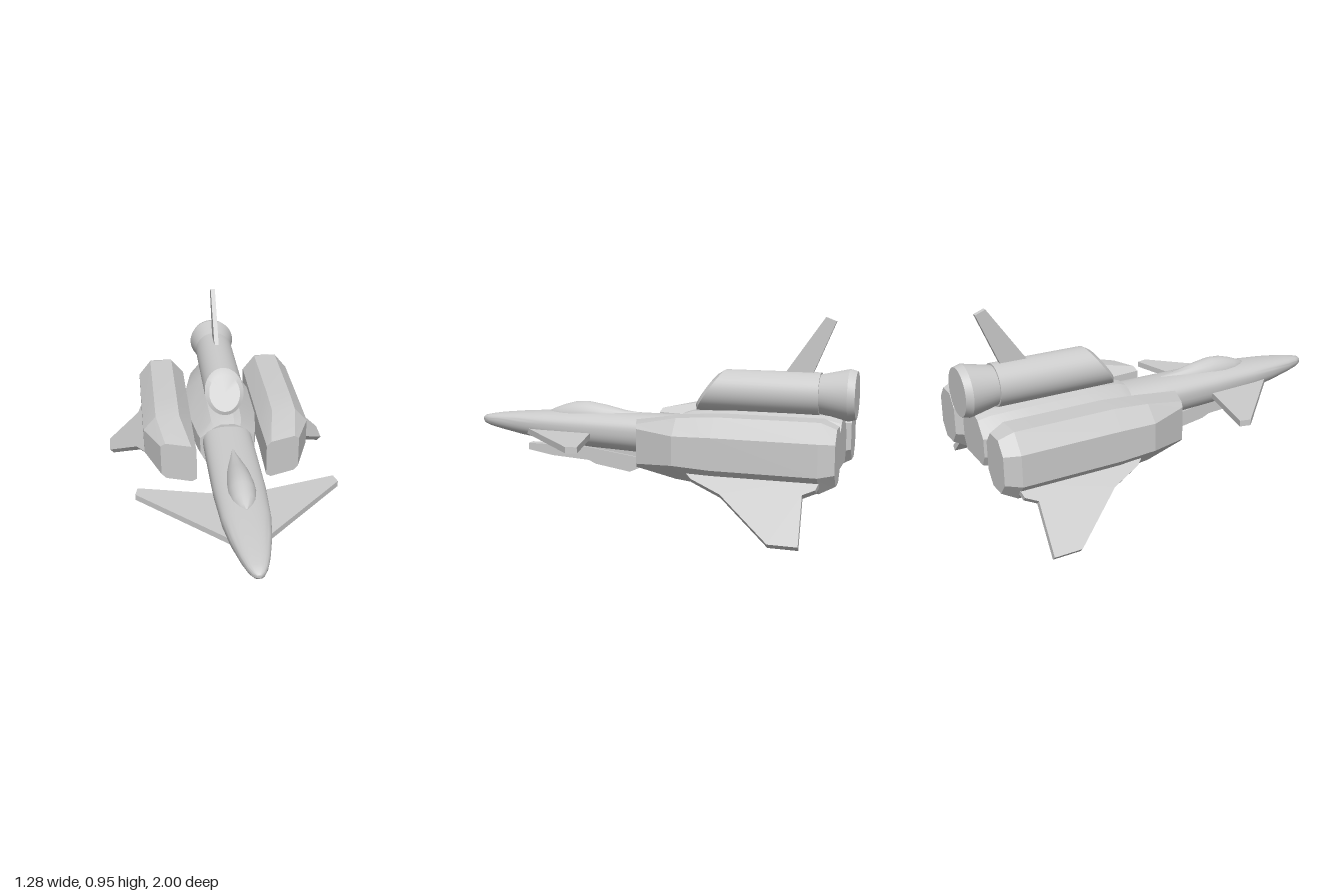
import * as THREE from 'three';
import { toCreasedNormals } from 'three/addons/utils/BufferGeometryUtils.js';

const V = (x, y, z) => new THREE.Vector3(x, y, z);

function mesh(name, geometry, crease = 0.5) {
  const m = new THREE.Mesh(toCreasedNormals(geometry, crease),
    new THREE.MeshStandardMaterial({ color: 0xcccccc }));
  m.name = name;
  return m;
}

// Skin a list of equal rings (rear to front, counter-clockwise from the front) and cap the ends.
function loft(rings) {
  const out = [];
  const tri = (...p) => p.forEach((q) => out.push(q.x, q.y, q.z));
  const n = rings[0].length;
  for (let i = 0; i < rings.length - 1; i++) {
    for (let j = 0; j < n; j++) {
      const k = (j + 1) % n, [r, s] = [rings[i], rings[i + 1]];
      tri(r[j], r[k], s[k]);
      tri(r[j], s[k], s[j]);
    }
  }
  const centre = (r) => r.reduce((a, p) => a.add(p), V(0, 0, 0)).divideScalar(n);
  const first = rings[0], last = rings[rings.length - 1];
  const c0 = centre(first), c1 = centre(last);
  for (let j = 0; j < n; j++) {
    const k = (j + 1) % n;
    tri(c0, first[k], first[j]);
    tri(c1, last[j], last[k]);
  }
  const g = new THREE.BufferGeometry();
  g.setAttribute('position', new THREE.Float32BufferAttribute(out, 3));
  return g;
}

// Flat plate: outline in the u, v plane, thickness centred on it.
function plate(name, outline, thickness, u, v, origin) {
  const shape = new THREE.Shape(outline.map(([a, b]) => new THREE.Vector2(a, b)));
  const g = new THREE.ExtrudeGeometry(shape, { depth: thickness, bevelEnabled: false });
  g.translate(0, 0, -thickness / 2);
  g.applyMatrix4(new THREE.Matrix4().makeBasis(u, v, u.clone().cross(v)).setPosition(origin));
  return mesh(name, g, 0.3);
}

// Rounded section with separate heights above and below its widest line.
function ovalRing(z, w, low, mid, top, power, n = 40) {
  return Array.from({ length: n }, (_, i) => {
    const a = (i / n) * Math.PI * 2, c = Math.cos(a), s = Math.sin(a);
    const h = s > 0 ? top - mid : mid - low;
    return V(w * Math.sign(c) * Math.abs(c) ** power, mid + h * Math.sign(s) * Math.abs(s) ** power, z);
  });
}

// Eight-sided section with chamfered corners; mirrored with its order kept.
function octRing(zIn, zOut, x0, x1, y0, y1, cx, cy, side = 1) {
  const pts = [[x1, y0 + cy], [x1, y1 - cy], [x1 - cx, y1], [x0 + cx, y1],
    [x0, y1 - cy], [x0, y0 + cy], [x0 + cx, y0], [x1 - cx, y0]]
    .map(([x, y]) => V(x * side, y, zIn + (zOut - zIn) * (x - x0) / (x1 - x0)));
  return side > 0 ? pts : pts.reverse();
}

export function createModel() {
  const model = new THREE.Group();
  model.name = 'spaceFighter';
  const X = V(1, 0, 0), Y = V(0, 1, 0), Z = V(0, 0, 1);

  // Slim fuselage: z, half width, bottom, widest height, top
  const hull = [
    [-0.4, 0.13, 0.24, 0.36, 0.455], [0.05, 0.13, 0.25, 0.37, 0.45], [0.35, 0.128, 0.262, 0.375, 0.45],
    [0.6, 0.115, 0.285, 0.38, 0.44], [0.75, 0.094, 0.305, 0.382, 0.43], [0.88, 0.066, 0.328, 0.382, 0.417],
    [0.95, 0.045, 0.342, 0.382, 0.406], [0.985, 0.027, 0.354, 0.38, 0.398], [1, 0.008, 0.368, 0.379, 0.386]];
  model.add(mesh('fuselage', loft(hull.map(([z, ...r]) => ovalRing(z, ...r, 0.85))), 0.7));

  // Teardrop canopy
  const bubble = [[0.08, 0.01, 0.452], [0.17, 0.035, 0.462], [0.28, 0.057, 0.485], [0.38, 0.067, 0.5],
    [0.45, 0.068, 0.495], [0.52, 0.056, 0.475], [0.57, 0.034, 0.455], [0.6, 0.008, 0.442]];
  model.add(mesh('canopy', loft(bubble.map(([z, w, t]) => ovalRing(z, w, 0.4, 0.42, t, 1, 24))), 0.9));

  // Faceted centre body behind the cockpit: z, half width, bottom, top, top half width
  const centre = [[-0.94, 0.13, 0.25, 0.475, 0.07], [-0.88, 0.145, 0.235, 0.49, 0.08],
    [-0.7, 0.182, 0.228, 0.495, 0.085], [-0.4, 0.182, 0.228, 0.495, 0.085],
    [-0.2, 0.155, 0.232, 0.48, 0.08], [-0.15, 0.145, 0.238, 0.465, 0.07]];
  model.add(mesh('centreBody', loft(centre.map(([z, w, b, t, tw]) => [
    [w, 0.3], [w, 0.39], [tw, t - 0.015], [tw * 0.5, t], [-tw * 0.5, t], [-tw, t - 0.015],
    [-w, 0.39], [-w, 0.3], [-w * 0.78, b], [w * 0.78, b]].map(([x, y]) => V(x, y, z)))), 0.3));

  // Upper engine with a raked intake face
  const engine = new THREE.Group();
  engine.name = 'upperEngine';
  const ring = (z, r, rake = 0) => Array.from({ length: 40 }, (_, i) => {
    const a = (i / 40) * Math.PI * 2;
    return V(r * Math.cos(a), 0.588 + r * Math.sin(a), z - rake * r * Math.sin(a));
  });
  engine.add(mesh('engineBarrel', loft([ring(-0.83, 0.104), ring(-0.29, 0.104, 0.7), ring(-0.27, 0.082, 0.7)])));
  engine.add(mesh('nozzle', loft([ring(-1, 0.115), ring(-0.965, 0.125), ring(-0.82, 0.093)]), 0.25));
  model.add(engine);

  // Swept tail fin
  model.add(plate('tailFin', [[-0.64, 0.66], [-0.845, 0.955], [-0.895, 0.935], [-0.78, 0.66]],
    0.024, Z, Y, V(0, 0, 0)));

  // Belly gun pod and its narrow mount
  model.add(plate('bellyPod', [[0.72, 0.26], [0.72, 0.225], [0.58, 0.202], [0.37, 0.19], [0.33, 0.172],
    [0.14, 0.143], [0.035, 0.19], [0.035, 0.215], [0.38, 0.26]], 0.05, Z, Y, V(0, 0, 0)));
  model.add(plate('podMount', [[0.6, 0.24], [0.04, 0.2], [0.04, 0.27], [0.6, 0.3]], 0.03, Z, Y, V(0, 0, 0)));

  for (const side of [1, -1]) {
    const name = side > 0 ? 'left' : 'right';

    // Side nacelle with tapered nose and chamfered tail
    model.add(mesh(name + 'Nacelle', loft([
      octRing(-0.955, -0.955, 0.215, 0.405, 0.225, 0.48, 0.05, 0.06, side),
      octRing(-0.885, -0.885, 0.18, 0.44, 0.19, 0.51, 0.068, 0.085, side),
      octRing(-0.4, -0.4, 0.18, 0.44, 0.19, 0.51, 0.068, 0.085, side),
      octRing(-0.22, -0.22, 0.18, 0.44, 0.21, 0.497, 0.068, 0.075, side),
      octRing(0.045, -0.02, 0.18, 0.36, 0.245, 0.452, 0.025, 0.02, side)]), 0.2));

    // Drooped wing below the nacelle
    const d = Math.SQRT1_2;
    model.add(plate(name + 'Wing', [[0, -0.25], [0.06, -0.31], [0.13, -0.46], [0.355, -0.71],
      [0.355, -0.842], [0.1, -0.825], [0.07, -0.88], [0, -0.9]],
    0.03, V(side * d, -d, 0), Z, V(side * 0.38, 0.262, 0)));

    // Forward canard
    model.add(plate(name + 'Canard', [[0.08, 0.7], [0.11, 0.67], [0.5, 0.285], [0.487, 0.23], [0.08, 0.33]],
      0.03, X.clone().multiplyScalar(side), Z, V(0, 0.337, 0)));
  }
  return model;
}
